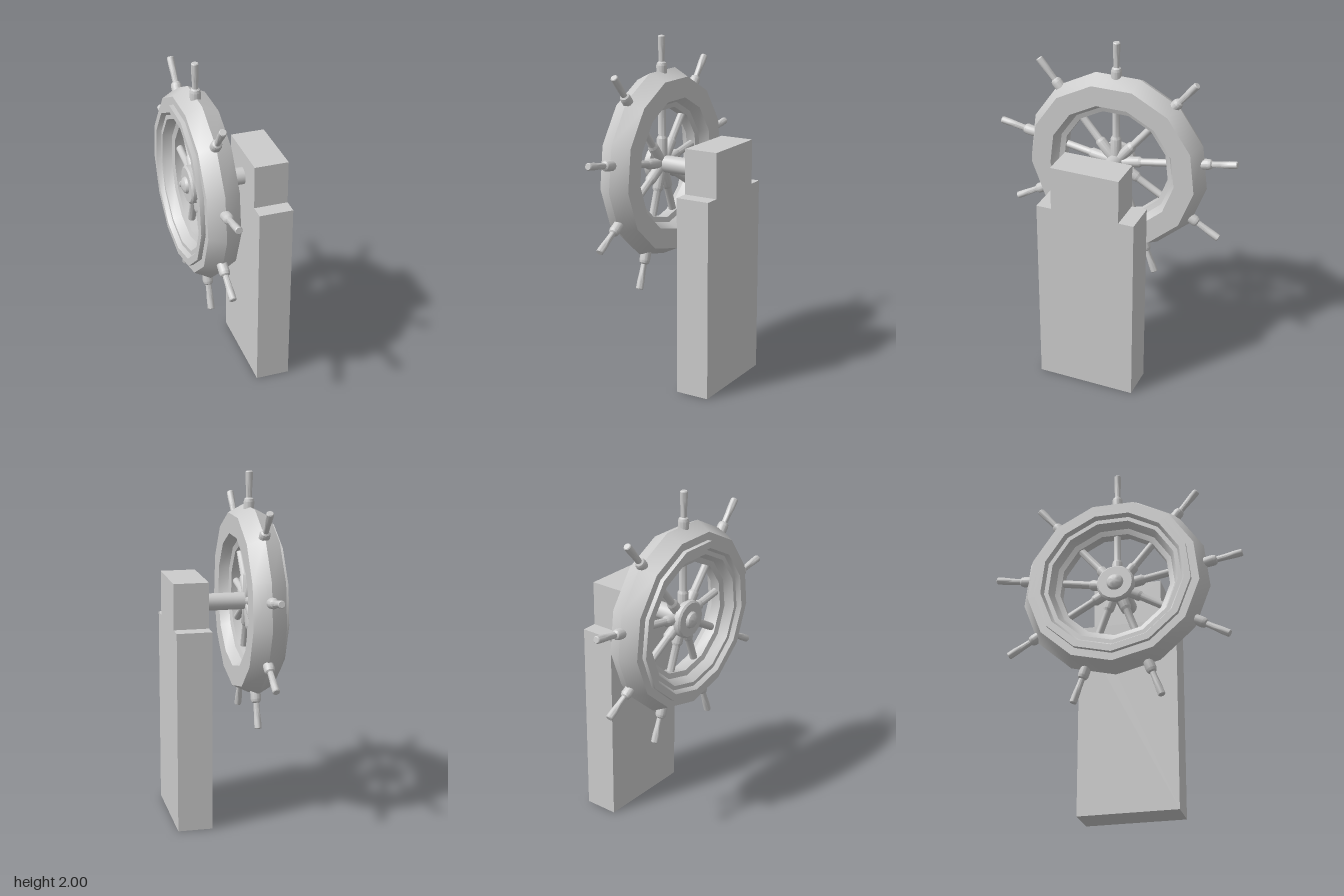
import * as THREE from 'three';
import { toCreasedNormals } from 'three/addons/utils/BufferGeometryUtils.js';

const material = new THREE.MeshStandardMaterial({ color: 0xcccccc });
const WHEEL_X = -0.185, WHEEL_Y = 1.26, SPOKES = 9;

function addMesh(parent, name, geometry, crease = 0.55) {
  const mesh = new THREE.Mesh(toCreasedNormals(geometry, crease), material);
  mesh.name = name;
  parent.add(mesh);
  return mesh;
}

// Revolves [radius, height] pairs around y
function turned(profile, sides, start = 0) {
  return new THREE.LatheGeometry(profile.map(([r, h]) => new THREE.Vector2(r, h)), sides, start);
}

export function createModel() {
  const model = new THREE.Group();
  model.name = 'shipWheel';

  // Stepped pedestal, drawn in the z-y plane and extruded along x
  const outline = [
    [-0.285, 0], [0.3, 0], [0.3, 1.155], [0.21, 1.155],
    [0.21, 1.415], [-0.195, 1.415], [-0.195, 1.155], [-0.285, 1.155],
  ].map(([a, b]) => new THREE.Vector2(a, b));
  const post = new THREE.ExtrudeGeometry(new THREE.Shape(outline), { depth: 0.2, bevelEnabled: false });
  post.rotateY(Math.PI / 2);
  addMesh(model, 'pedestal', post).position.x = 0.09;

  const wheel = new THREE.Group();
  wheel.name = 'wheel';
  wheel.position.set(WHEEL_X, WHEEL_Y, 0);
  model.add(wheel);

  // Thirteen-sided rim: ridged outside, raised ring on the outer face, ledge inside
  const rim = turned([
    [0.46, -0.09], [0.505, -0.09], [0.552, 0], [0.505, 0.095], [0.385, 0.095],
    [0.355, 0.04], [0.325, 0.03], [0.325, -0.03], [0.355, -0.04], [0.38, -0.09],
    [0.405, -0.09], [0.42, -0.115], [0.46, -0.115], [0.46, -0.09],
  ], 13, Math.PI / 2);
  rim.rotateZ(-Math.PI / 2);
  addMesh(wheel, 'rim', rim).position.set(0, 0.005, -0.008);

  // Axle running from the hub to the pedestal
  const axle = new THREE.CylinderGeometry(0.05, 0.05, 0.32, 16);
  axle.rotateZ(-Math.PI / 2);
  addMesh(wheel, 'axle', axle).position.x = 0.12;

  // Hub plate with a domed cap
  const hub = turned([
    [0, -0.09], [0.025, -0.086], [0.043, -0.075], [0.05, -0.06],
    [0.1, -0.06], [0.11, -0.05], [0.11, -0.02], [0, -0.02],
  ], 16);
  hub.rotateZ(-Math.PI / 2);
  addMesh(wheel, 'hub', hub);

  // Turned spokes and the hand grips outside the rim
  const spoke = turned([
    [0, 0], [0.031, 0], [0.031, 0.15], [0.022, 0.165], [0.022, 0.36], [0, 0.36],
  ], 12);
  const grip = turned([
    [0, 0.5], [0.03, 0.5], [0.031, 0.57], [0.026, 0.585], [0.017, 0.592],
    [0.018, 0.64], [0.021, 0.69], [0.021, 0.735], [0.017, 0.74], [0, 0.74],
  ], 12);
  for (let i = 0; i < SPOKES; i++) {
    const angle = (i / SPOKES) * Math.PI * 2;
    addMesh(wheel, 'spoke', spoke).rotation.x = angle;
    addMesh(wheel, 'handle', grip).rotation.x = angle;
  }

  return model;
}
